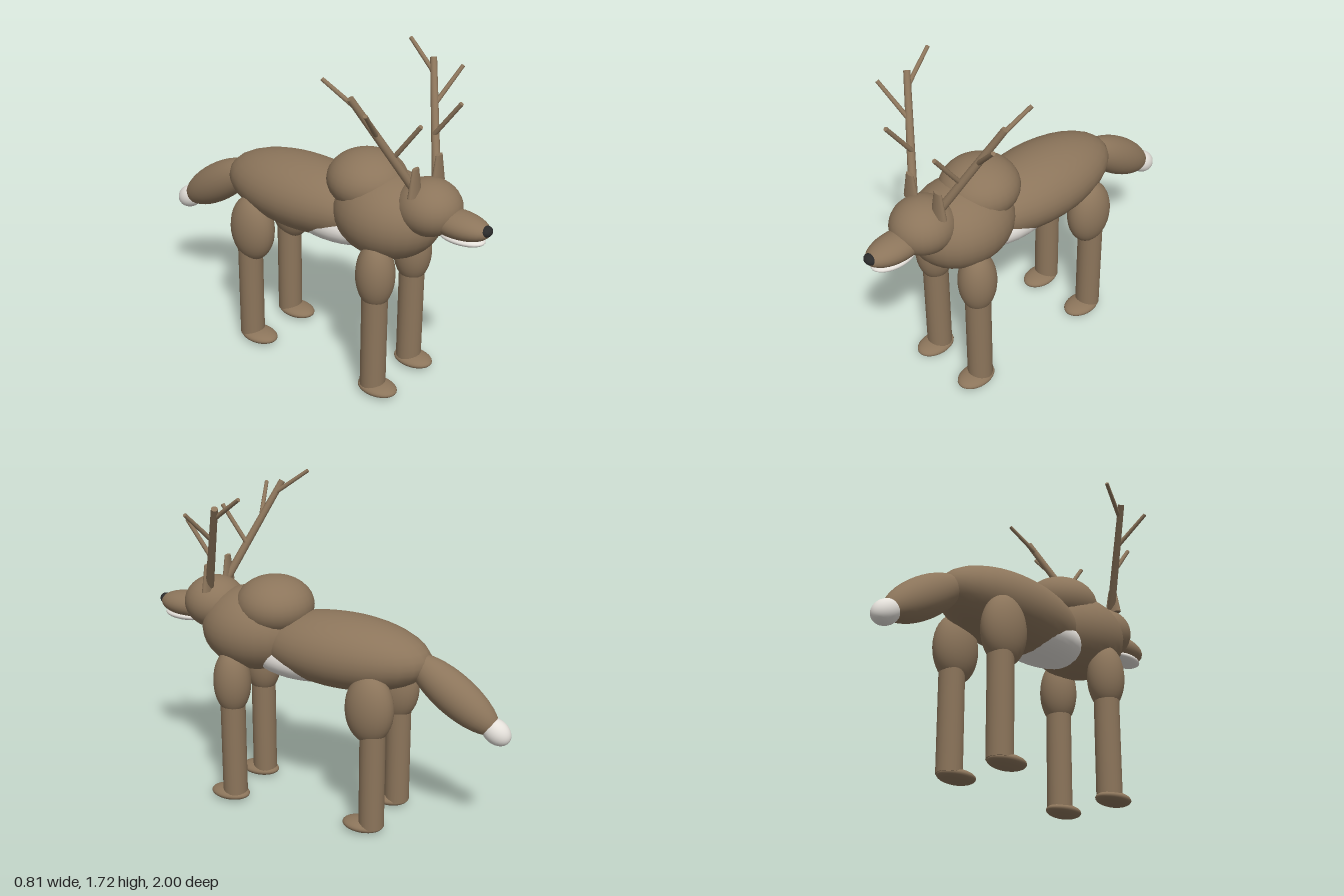
import * as THREE from 'three';

const brown = new THREE.MeshStandardMaterial({ color: 0x8c755b });
brown.name = 'brown fur';
const white = new THREE.MeshStandardMaterial({ color: 0xe4e0da });
white.name = 'white fur';
const dark = new THREE.MeshStandardMaterial({ color: 0x2b2b2b });
dark.name = 'dark nose';

// Ellipsoid with centre, radii and an optional tilt about x
function ellipsoid(name, material, center, radii, tilt = 0) {
  const mesh = new THREE.Mesh(new THREE.SphereGeometry(1, 28, 18), material);
  mesh.name = name;
  mesh.position.set(...center);
  mesh.scale.set(...radii);
  mesh.rotation.x = tilt;
  return mesh;
}

// Tapered round rod between two points
function rod(name, from, to, r0, r1, sides = 12) {
  const a = new THREE.Vector3(...from);
  const b = new THREE.Vector3(...to);
  const dir = b.clone().sub(a);
  const mesh = new THREE.Mesh(new THREE.CylinderGeometry(r1, r0, dir.length(), sides), brown);
  mesh.name = name;
  mesh.position.copy(a).add(b).multiplyScalar(0.5);
  mesh.quaternion.setFromUnitVectors(new THREE.Vector3(0, 1, 0), dir.normalize());
  return mesh;
}

function makeLeg(name, x, z, thighZ, thighRadii, footZ) {
  const leg = new THREE.Group();
  leg.name = name;
  leg.add(
    ellipsoid('thigh', brown, [x, 0.685, thighZ], thighRadii),
    rod('shin', [x, 0.035, z], [x, 0.66, z], 0.066, 0.066, 20),
    ellipsoid('foot', brown, [x, 0.033, footZ], [0.077, 0.033, 0.11])
  );
  return leg;
}

function makeAntler(name, s) {
  const antler = new THREE.Group();
  antler.name = name;
  antler.add(
    rod('beam', [s * 0.08, 1.14, 0.64], [s * 0.337, 1.65, 0.43], 0.022, 0.017),
    rod('lowerTine', [s * 0.17, 1.34, 0.56], [s * 0.17, 1.53, 0.7], 0.012, 0.011),
    rod('middleTine', [s * 0.243, 1.46, 0.51], [s * 0.4, 1.62, 0.56], 0.012, 0.01),
    rod('upperTine', [s * 0.305, 1.59, 0.455], [s * 0.353, 1.715, 0.285], 0.012, 0.01)
  );
  return antler;
}

export function createModel() {
  const model = new THREE.Group();
  model.name = 'antleredAnimal';

  // Trunk
  model.add(
    ellipsoid('body', brown, [0, 0.905, -0.1], [0.235, 0.19, 0.475]),
    ellipsoid('chest', brown, [0, 0.945, 0.42], [0.245, 0.22, 0.285]),
    ellipsoid('shoulderHump', brown, [0, 1.09, 0.295], [0.2, 0.15, 0.205]),
    ellipsoid('bellyPatch', white, [0, 0.835, 0.12], [0.185, 0.12, 0.32])
  );

  // Head
  model.add(
    ellipsoid('head', brown, [0, 1.05, 0.655], [0.16, 0.14, 0.165]),
    ellipsoid('snout', brown, [0, 1.01, 0.82], [0.09, 0.068, 0.17]),
    ellipsoid('chin', white, [0, 0.952, 0.84], [0.073, 0.029, 0.125]),
    ellipsoid('nose', dark, [0, 1.02, 0.972], [0.035, 0.027, 0.028])
  );

  // Tail
  model.add(
    ellipsoid('tail', brown, [0, 0.775, -0.7], [0.1, 0.105, 0.28], -0.6),
    ellipsoid('tailTip', white, [0, 0.62, -0.925], [0.06, 0.062, 0.082], -0.6)
  );

  // Paired parts
  for (const [side, s] of [['left', 1], ['right', -1]]) {
    model.add(
      makeLeg(side + 'FrontLeg', s * 0.163, 0.468, 0.468, [0.097, 0.18, 0.1], 0.498),
      makeLeg(side + 'HindLeg', s * 0.163, -0.34, -0.32, [0.098, 0.185, 0.128], -0.292),
      makeAntler(side + 'Antler', s)
    );
    const ear = new THREE.Mesh(new THREE.CylinderGeometry(0.025, 0.052, 0.14, 16), brown);
    ear.name = side + 'Ear';
    ear.position.set(s * 0.1, 1.21, 0.635);
    ear.scale.z = 0.42;
    model.add(ear);
  }
  return model;
}
